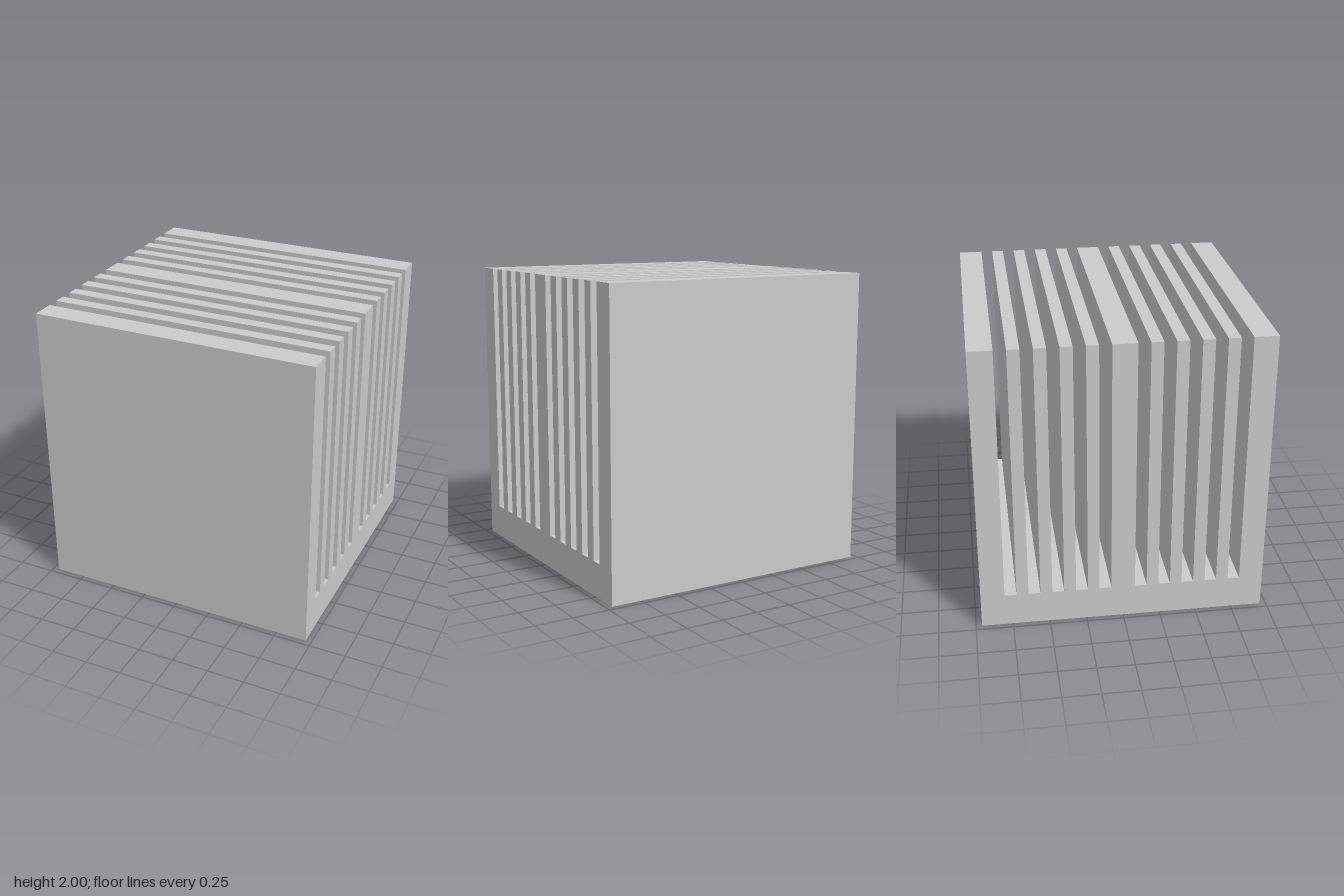
import * as THREE from 'three';

export function createModel() {
  const half = 0.96, height = 2, slotFloor = 0.23, slotWidth = 0.08, pitch = 0.16;

  // Slot edges along z: five slots on each side of the thick middle wall
  const slots = [];
  for (let i = 4; i >= 0; i--) slots.push(-(0.08 + i * pitch + slotWidth));
  for (let i = 0; i < 5; i++) slots.push(0.08 + i * pitch);

  // Comb-shaped side profile, drawn as (z, y)
  const profile = new THREE.Shape();
  profile.moveTo(half, 0);
  profile.lineTo(half, height);
  for (const z of slots.reverse()) {
    profile.lineTo(z + slotWidth, height);
    profile.lineTo(z + slotWidth, slotFloor);
    profile.lineTo(z, slotFloor);
    profile.lineTo(z, height);
  }
  profile.lineTo(-half, height);
  profile.lineTo(-half, 0);
  profile.closePath();

  // Extrude across the full width, turned so the slots run along x
  const geometry = new THREE.ExtrudeGeometry(profile, { depth: 2 * half, bevelEnabled: false });
  geometry.translate(0, 0, -half);
  geometry.rotateY(-Math.PI / 2);

  const block = new THREE.Mesh(geometry, new THREE.MeshStandardMaterial({ color: 0xcccccc }));
  block.name = 'slottedBlock';

  const group = new THREE.Group();
  group.name = 'slottedHolder';
  group.add(block);
  return group;
}
